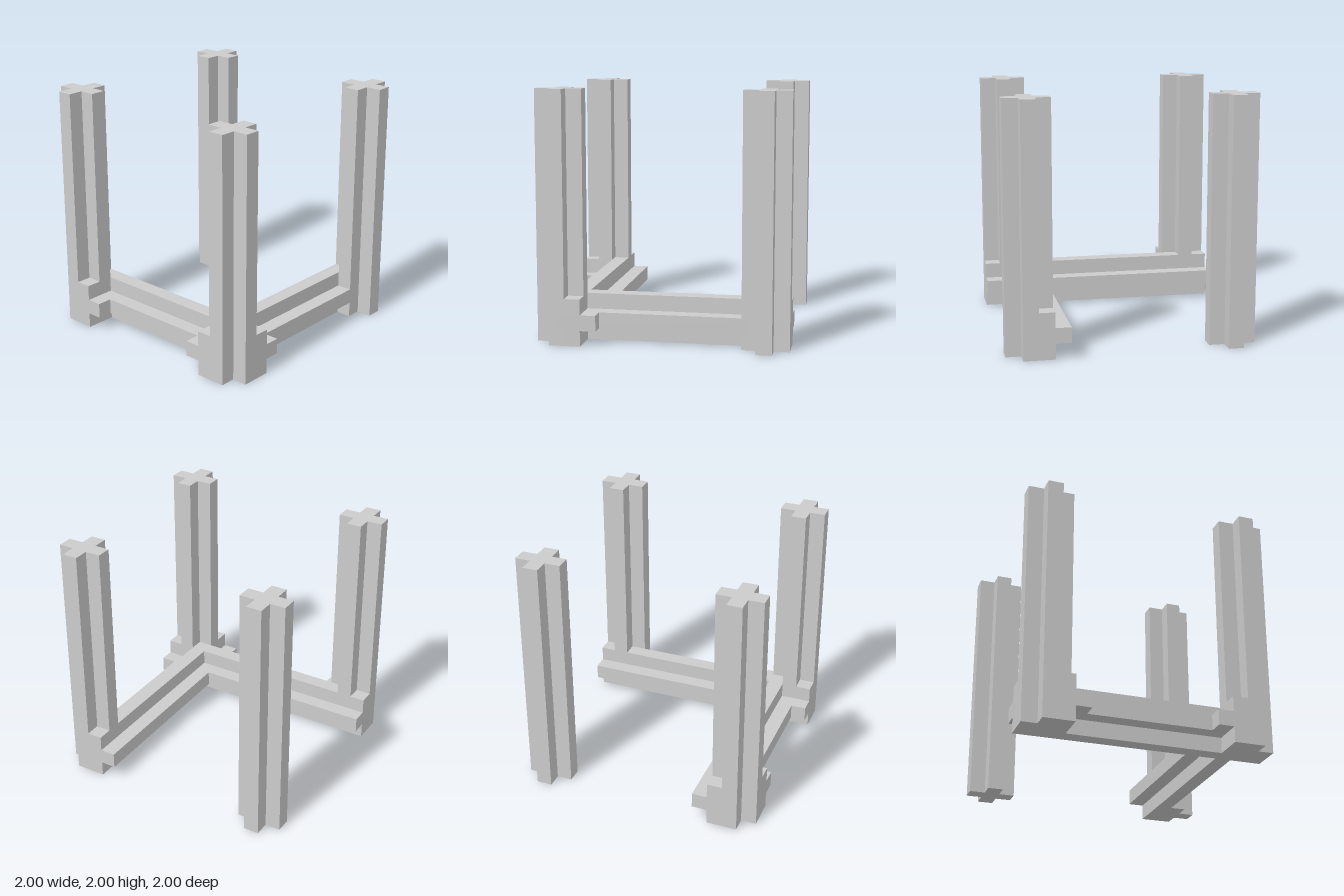
import * as THREE from 'three';

const U = 0.125; // width of one arm of the cross profile; the full cross is 3U wide

const material = new THREE.MeshStandardMaterial({ color: 0xcccccc, flatShading: true });

// Plus-shaped bar centred on the origin, running along z
function crossBar(name, length) {
  const a = U / 2, b = 1.5 * U;
  const outline = [
    [-a, -b], [a, -b], [a, -a], [b, -a], [b, a], [a, a],
    [a, b], [-a, b], [-a, a], [-b, a], [-b, -a], [-a, -a],
  ].map(([x, y]) => new THREE.Vector2(x, y));
  const geometry = new THREE.ExtrudeGeometry(new THREE.Shape(outline), { depth: length, bevelEnabled: false });
  geometry.translate(0, 0, -length / 2);
  const mesh = new THREE.Mesh(geometry, material);
  mesh.name = name;
  return mesh;
}

export function createModel() {
  const group = new THREE.Group();
  group.name = 'postFrame';

  // Four upright corner posts
  const p = 1 - 1.5 * U;
  for (const [side, sx] of [['Left', 1], ['Right', -1]]) {
    for (const [end, sz] of [['front', 1], ['back', -1]]) {
      const post = crossBar(`${end}${side}Post`, 2);
      post.rotation.x = Math.PI / 2;
      post.position.set(sx * p, 1, sz * p);
      group.add(post);
    }
  }

  // Low rails, set one unit inward of the posts
  const r = 1 - 2.5 * U, y = 1.5 * U;

  const frontRail = crossBar('frontRail', 2);
  frontRail.rotation.y = Math.PI / 2;
  frontRail.position.set(0, y, r);

  const sideRail = crossBar('sideRail', 2);
  sideRail.position.set(-r, y, 0);

  // Short rail end poking out beside the back post
  const railStub = crossBar('railStub', 3 * U);
  railStub.rotation.y = Math.PI / 2;
  railStub.position.set(-p, y, -r);

  group.add(frontRail, sideRail, railStub);
  return group;
}
